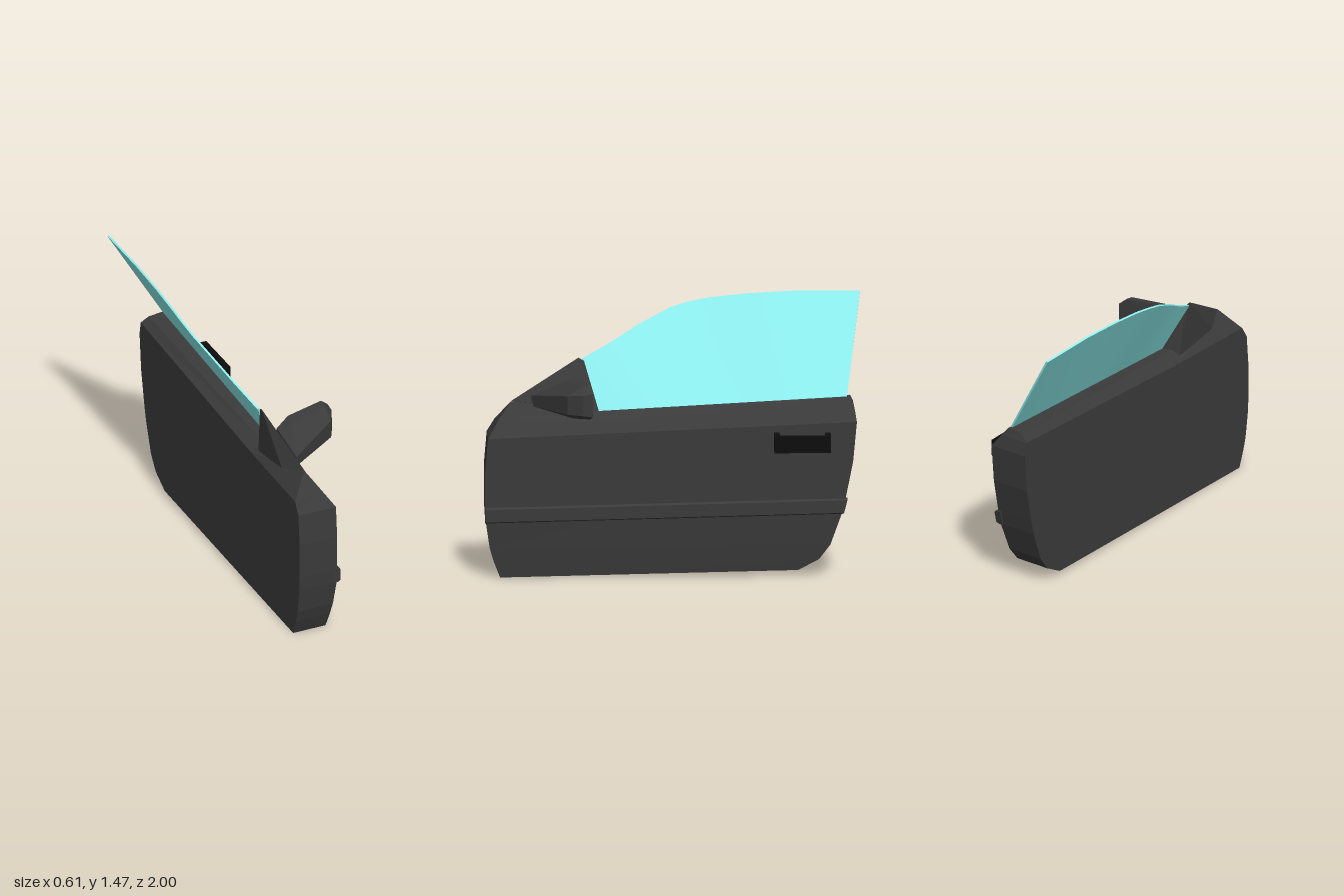
import * as THREE from 'three';
import { toCreasedNormals } from 'three/addons/utils/BufferGeometryUtils.js';
import { ConvexGeometry } from 'three/addons/geometries/ConvexGeometry.js';

const paint = new THREE.MeshStandardMaterial({ color: 0x3a3a3a, flatShading: true });
const black = new THREE.MeshStandardMaterial({ color: 0x0d0d0d, flatShading: true });
const tint = new THREE.MeshStandardMaterial({ color: 0x8ff0f0, side: THREE.DoubleSide });

// Skin a list of equal-sized rings (counter-clockwise about the loft direction) and cap both ends
function loft(rings) {
  const pos = [];
  const quad = (a, b, c, d) => pos.push(...a, ...b, ...c, ...a, ...c, ...d);
  const n = rings[0].length;
  for (let i = 0; i < rings.length - 1; i++) {
    for (let j = 0; j < n; j++) {
      const k = (j + 1) % n;
      quad(rings[i][j], rings[i][k], rings[i + 1][k], rings[i + 1][j]);
    }
  }
  const first = rings[0], last = rings[rings.length - 1];
  for (let j = 0; j < n / 2 - 1; j++) {
    quad(last[j], last[j + 1], last[n - 2 - j], last[n - 1 - j]);
    quad(first[n - 1 - j], first[n - 2 - j], first[j + 1], first[j]);
  }
  const geo = new THREE.BufferGeometry();
  geo.setAttribute('position', new THREE.Float32BufferAttribute(pos, 3));
  geo.computeVertexNormals();
  return geo;
}

const hull = (points) => new ConvexGeometry(points.map((p) => new THREE.Vector3(...p)));

// Door shell: levels from sill to shoulder, then the two sloping belt levels
function shellGeometry() {
  const MID = 0.4;
  // front y, front z, rear y, rear z, outer x
  const levels = [
    [0, 0.92, 0.03, -0.66, 0.06],
    [0.09, 0.955, 0.09, -0.77, 0.069],
    [0.16, 0.975, 0.17, -0.83, 0.077],
    [0.30, 0.995, 0.34, -0.89, 0.09],
    [0.38, 1.0, 0.42, -0.91, 0.09],
    [0.58, 1.0, 0.62, -0.95, 0.09],
    [0.755, 0.985, 0.835, -0.97, 0.09],
  ];
  const rings = levels.map(([fy, fz, ry, rz, x]) => {
    const my = fy + (ry - fy) * (fz - MID) / (fz - rz);
    return [[x, fy, fz], [x, my, MID], [x, ry, rz], [-0.13, ry, rz], [-0.13, my, MID], [-0.13, fy, fz]];
  });
  rings.push([[0.027, 0.85, 0.925], [0.05, 0.835, MID], [0.034, 0.91, -0.955],
    [-0.13, 0.91, -0.955], [-0.13, 0.835, MID], [-0.13, 0.82, 0.945]]);
  rings.push([[-0.03, 0.935, 0.86], [0, 0.885, MID], [0, 0.955, -0.94],
    [-0.09, 0.945, -0.94], [-0.06, 0.88, MID], [-0.04, 0.933, 0.86]]);
  return loft(rings);
}

// Window: thin slab ruled from the belt line up to the curved roof edge
function windowGeometry() {
  const top = [
    [-0.12, 1.145, 0.48], [-0.175, 1.225, 0.32], [-0.23, 1.31, 0.17], [-0.278, 1.385, 0.01],
    [-0.29, 1.412, -0.08], [-0.295, 1.435, -0.2], [-0.295, 1.455, -0.4],
    [-0.295, 1.468, -0.65], [-0.295, 1.466, -1],
  ];
  const inward = ([x, y, z]) => [x - 0.009, y - 0.005, z];
  return toCreasedNormals(loft(top.map((t) => {
    const f = (0.48 - t[2]) / 1.48;
    const b = [0, 0.885 + 0.07 * f, 0.4 - 1.32 * f];
    return [b, inward(b), inward(t), t];
  })), 0.6);
}

export function createModel() {
  const door = new THREE.Group();
  door.name = 'carDoor';
  const add = (name, geo, mat, parent = door) => {
    const mesh = new THREE.Mesh(geo, mat);
    mesh.name = name;
    parent.add(mesh);
    return mesh;
  };

  add('doorShell', shellGeometry(), paint);
  add('windowGlass', windowGeometry(), tint);

  // Corner piece in front of the glass
  add('mirrorSail', hull([
    [-0.115, 1.15, 0.5], [-0.11, 1.135, 0.47], [0.003, 0.885, 0.395],
    [-0.03, 0.936, 0.86], [-0.1, 0.85, 0.43], [-0.1, 0.9, 0.72],
  ]), paint);

  // Rub strip along the outer panel, rising toward the rear
  const strip = [];
  for (const [z, rise] of [[1.0, 0], [-0.91, 0.04]]) {
    for (const [x, y] of [[0.07, 0.30], [0.095, 0.30], [0.11, 0.308], [0.11, 0.375], [0.095, 0.383], [0.07, 0.383]]) {
      strip.push([x, y + rise, z - (rise ? (y - 0.34) * 0.25 : 0)]);
    }
  }
  add('rubStrip', hull(strip), paint);

  // Wing mirror housing, tapering outward
  add('wingMirror', hull([
    [-0.04, 1.03, 0.53], [-0.04, 0.91, 0.51], [-0.03, 0.91, 0.75], [-0.03, 0.965, 0.75],
    [0.04, 1.07, 0.5], [0.04, 1.06, 0.56], [0.26, 1.077, 0.445], [0.26, 1.07, 0.49],
    [0.303, 1.04, 0.437], [0.303, 1.03, 0.485], [0.303, 0.915, 0.437], [0.303, 0.92, 0.49],
    [0.26, 1.02, 0.57], [0.26, 0.92, 0.57], [0.265, 0.895, 0.45], [0.26, 0.9, 0.54],
  ]), paint);

  // Pull handle: a bar on two posts
  const handle = new THREE.Group();
  handle.name = 'handle';
  door.add(handle);
  add('handleBar', new THREE.BoxGeometry(0.027, 0.09, 0.3), black, handle).position.set(0.181, 0.735, -0.68);
  for (const z of [-0.545, -0.815]) {
    add('handlePost', new THREE.BoxGeometry(0.1, 0.09, 0.03), black, handle).position.set(0.13, 0.735, z);
  }
  return door;
}
